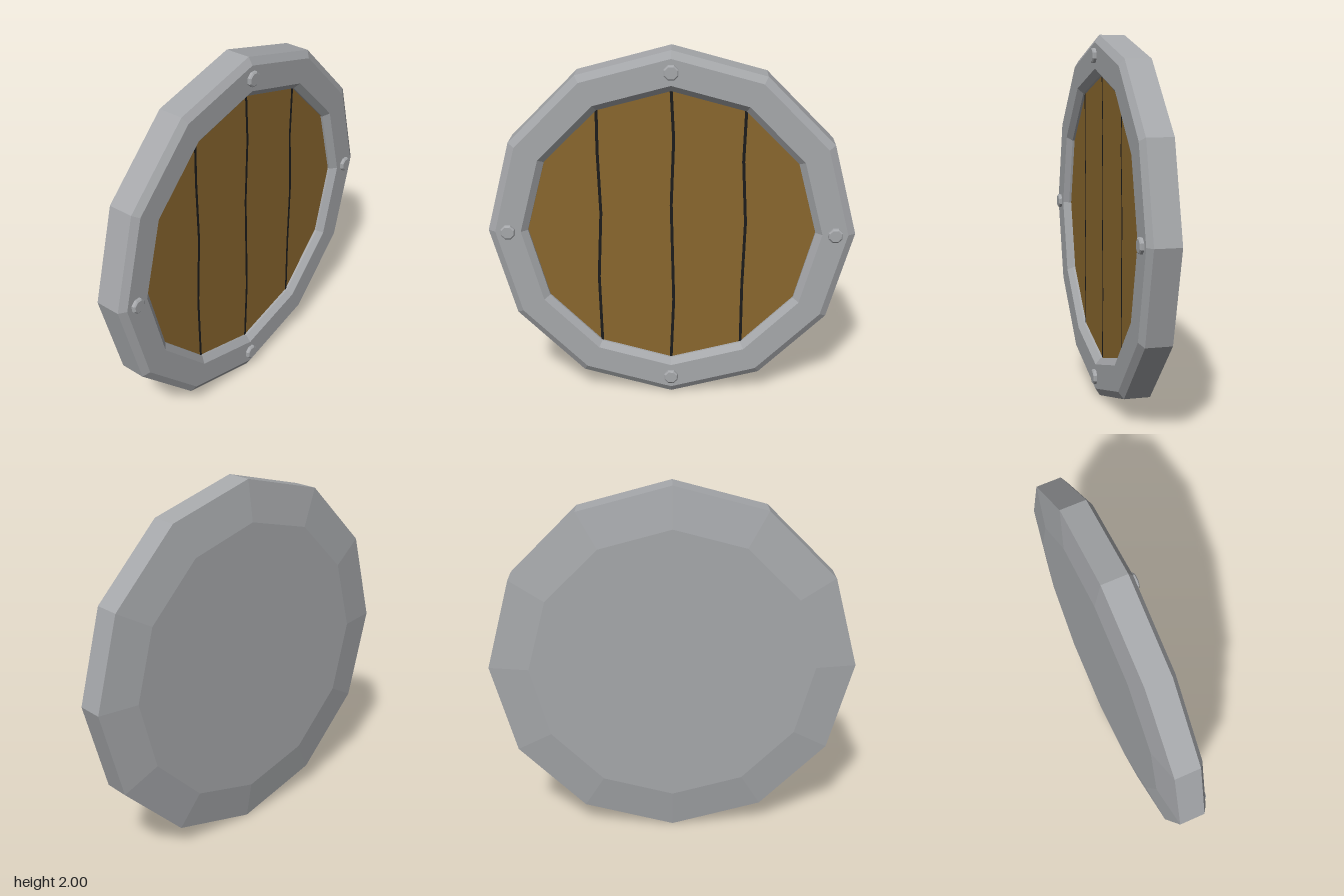
import * as THREE from 'three';

const V = (x, y) => new THREE.Vector2(x, y);

// Faceted solid of revolution whose axis points to +z
function turned(profile, sides, material, name) {
  const geometry = new THREE.LatheGeometry(profile.map(([r, z]) => V(r, z)), sides);
  geometry.rotateX(Math.PI / 2);
  const mesh = new THREE.Mesh(geometry, material);
  mesh.name = name;
  return mesh;
}

export function createModel() {
  const steel = new THREE.MeshStandardMaterial({ color: 0xa6a8ab, flatShading: true });
  steel.name = 'steel';
  const wood = new THREE.MeshStandardMaterial({ color: 0x8a672e, flatShading: true });
  wood.name = 'wood';
  const gap = new THREE.MeshStandardMaterial({ color: 0x1c1c1c, flatShading: true });
  gap.name = 'dark gap';

  const shield = new THREE.Group();
  shield.name = 'roundShield';

  // Back plate, bevelled rim and inner lip in one twelve-sided profile
  shield.add(turned([
    [0, -0.11], [0.78, -0.11], [1, -0.075], [1, 0.065], [0.96, 0.09],
    [0.82, 0.09], [0.785, 0.06], [0.785, 0.04],
  ], 12, steel, 'rimAndBack'));

  // Wooden face set into the rim
  const face = new THREE.Mesh(new THREE.CircleGeometry(0.785, 12), wood);
  face.name = 'woodenFace';
  face.position.z = 0.047;
  shield.add(face);

  // Wavy gaps between the planks, as [x, y] from the centre
  const seams = [
    [[-0.393, 0.68], [-0.394, 0.45], [-0.383, 0.1], [-0.402, -0.28], [-0.393, -0.68]],
    [[0, 0.783], [0.013, 0.52], [0, 0.15], [0.014, -0.42], [0, -0.783]],
    [[0.393, 0.68], [0.385, 0.4], [0.404, 0.05], [0.394, -0.32], [0.394, -0.68]],
  ];
  const half = 0.008;
  for (const seam of seams) {
    const outline = [
      ...seam.map(([x, y]) => V(x - half, y)),
      ...seam.map(([x, y]) => V(x + half, y)).reverse(),
    ];
    const mesh = new THREE.Mesh(new THREE.ShapeGeometry(new THREE.Shape(outline)), gap);
    mesh.name = 'plankGap';
    mesh.position.z = 0.05;
    shield.add(mesh);
  }

  // Four rivets around the rim
  for (let i = 0; i < 4; i++) {
    const a = (i * Math.PI) / 2;
    const rivet = turned([[0.042, 0.085], [0.042, 0.104], [0.034, 0.11], [0, 0.11]], 8, steel, 'rivet');
    rivet.position.set(0.89 * Math.cos(a), 0.89 * Math.sin(a), 0);
    rivet.rotation.z = Math.PI / 8;
    shield.add(rivet);
  }

  shield.position.y = 1;
  const model = new THREE.Group();
  model.name = 'shield';
  model.add(shield);
  return model;
}
